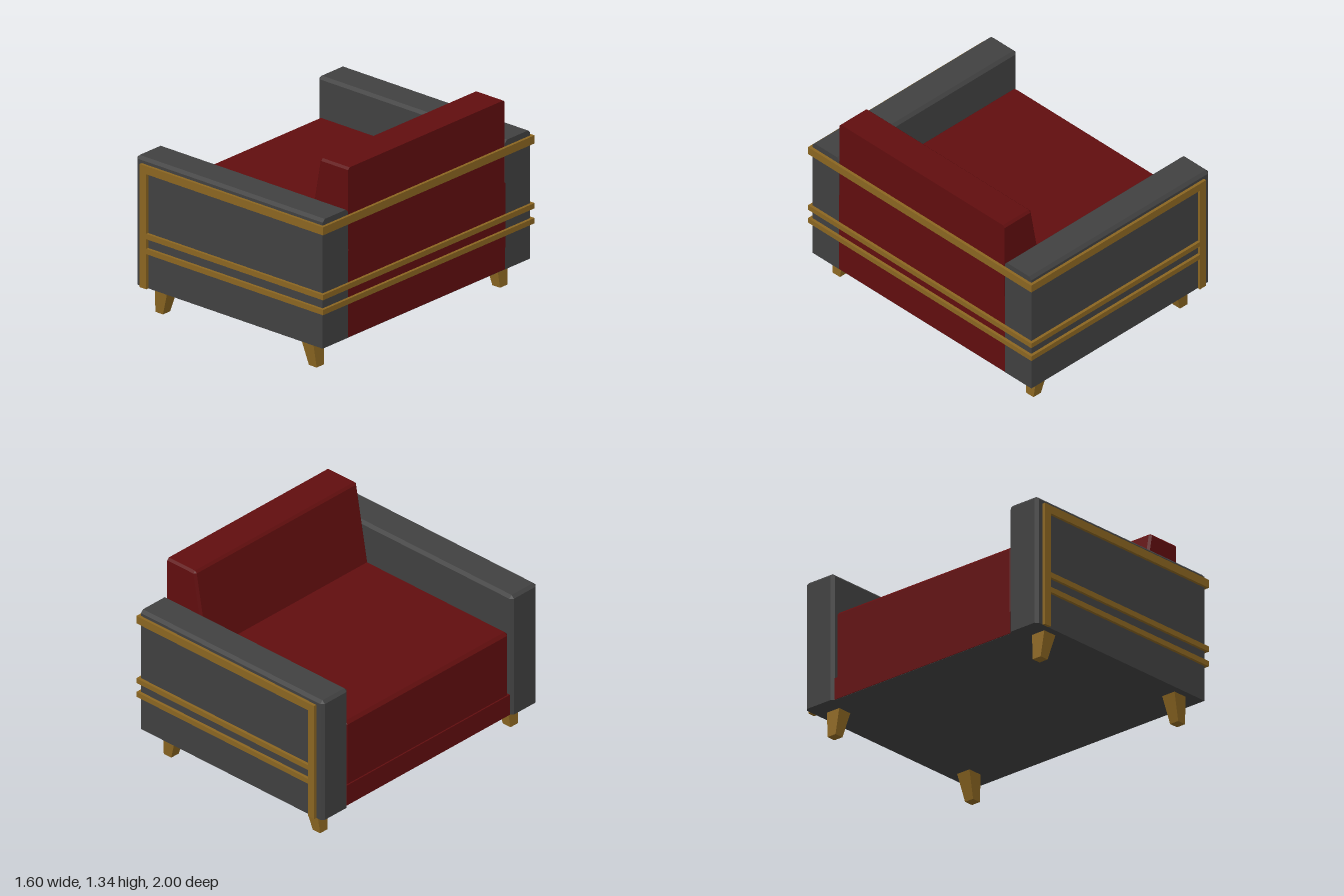
import * as THREE from 'three';
import { ConvexGeometry } from 'three/addons/geometries/ConvexGeometry.js';

const upholstery = new THREE.MeshStandardMaterial({ name: 'red upholstery', color: 0x600d0e });
const shell = new THREE.MeshStandardMaterial({ name: 'grey shell', color: 0x404040 });
const wood = new THREE.MeshStandardMaterial({ name: 'golden wood', color: 0x8a6521 });

// Adds a plain box given by its limits on each axis.
function box(parent, name, material, [x0, x1], [y0, y1], [z0, z1]) {
  const mesh = new THREE.Mesh(new THREE.BoxGeometry(x1 - x0, y1 - y0, z1 - z0), material);
  mesh.name = name;
  mesh.position.set((x0 + x1) / 2, (y0 + y1) / 2, (z0 + z1) / 2);
  parent.add(mesh);
}

// Adds a faceted solid spanned by rows of corners.
function hull(parent, name, material, corners) {
  const points = corners.map((p) => new THREE.Vector3(...p));
  const mesh = new THREE.Mesh(new ConvexGeometry(points), material);
  mesh.name = name;
  parent.add(mesh);
}

// Block with a square rear and chamfered front and top edges.
// f0 and f1 are the front x at the bottom and at the top, so the front can lean.
function chamferBlock(parent, name, material, f0, f1, back, [y0, y1], [z0, z1], c) {
  const corners = [];
  const ring = (y, front, side, cut) => corners.push(
    [back, y, z0 + side], [back, y, z1 - side],
    [front + cut, y, z0 + side], [front + cut, y, z1 - side],
    [front, y, z0 + side + cut], [front, y, z1 - side - cut]);
  ring(y0, f0, 0, c);
  ring(y1 - c, f1, 0, c);
  ring(y1, f1 + c, c, 0);
  hull(parent, name, material, corners);
}

export function createModel() {
  const chair = new THREE.Group();
  chair.name = 'armchair';

  // Seat and backrest; the chair faces -x
  box(chair, 'seatBase', upholstery, [-0.785, 0.78], [0.182, 0.33], [-0.742, 0.742]);
  chamferBlock(chair, 'seatCushion', upholstery, -0.775, -0.775, 0.78, [0.33, 0.79], [-0.745, 0.745], 0.02);
  chamferBlock(chair, 'backrest', upholstery, 0.44, 0.538, 0.78, [0.78, 1.338], [-0.74, 0.74], 0.015);
  box(chair, 'underside', shell, [-0.78, 0.779], [0.18, 0.184], [-0.745, 0.745]);

  // Armrests
  chamferBlock(chair, 'leftArm', shell, -0.8, -0.8, 0.78, [0.18, 1.06], [0.742, 0.98], 0.02);
  chamferBlock(chair, 'rightArm', shell, -0.8, -0.8, 0.78, [0.18, 1.06], [-0.98, -0.742], 0.02);

  // Trim: three rails wrapping sides and back, and a post on each side
  const trim = new THREE.Group();
  trim.name = 'trim';
  const rails = [[0.965, 1.02], [0.522, 0.558], [0.42, 0.456]];
  for (const span of rails) box(trim, 'backRail', wood, [0.78, 0.8], span, [-1, 1]);
  for (const z of [[0.98, 1], [-1, -0.98]]) {
    for (const span of rails) box(trim, 'sideRail', wood, [-0.69, 0.78], span, z);
    box(trim, 'sidePost', wood, [-0.745, -0.69], [0.18, 1.02], z);
  }
  chair.add(trim);

  // Tapered, splayed legs
  for (const s of [-1, 1]) {
    for (const z of [0.88, -0.853]) {
      const corners = [];
      for (const [y, xa, xb, w] of [[0, 0.615, 0.68, 0.034], [0.182, 0.56, 0.665, 0.052]]) {
        for (const x of [xa, xb]) {
          for (const side of [-1, 1]) corners.push([s * x - 0.01, y, z + side * w]);
        }
      }
      hull(chair, s < 0 ? 'frontLeg' : 'backLeg', wood, corners);
    }
  }
  return chair;
}
